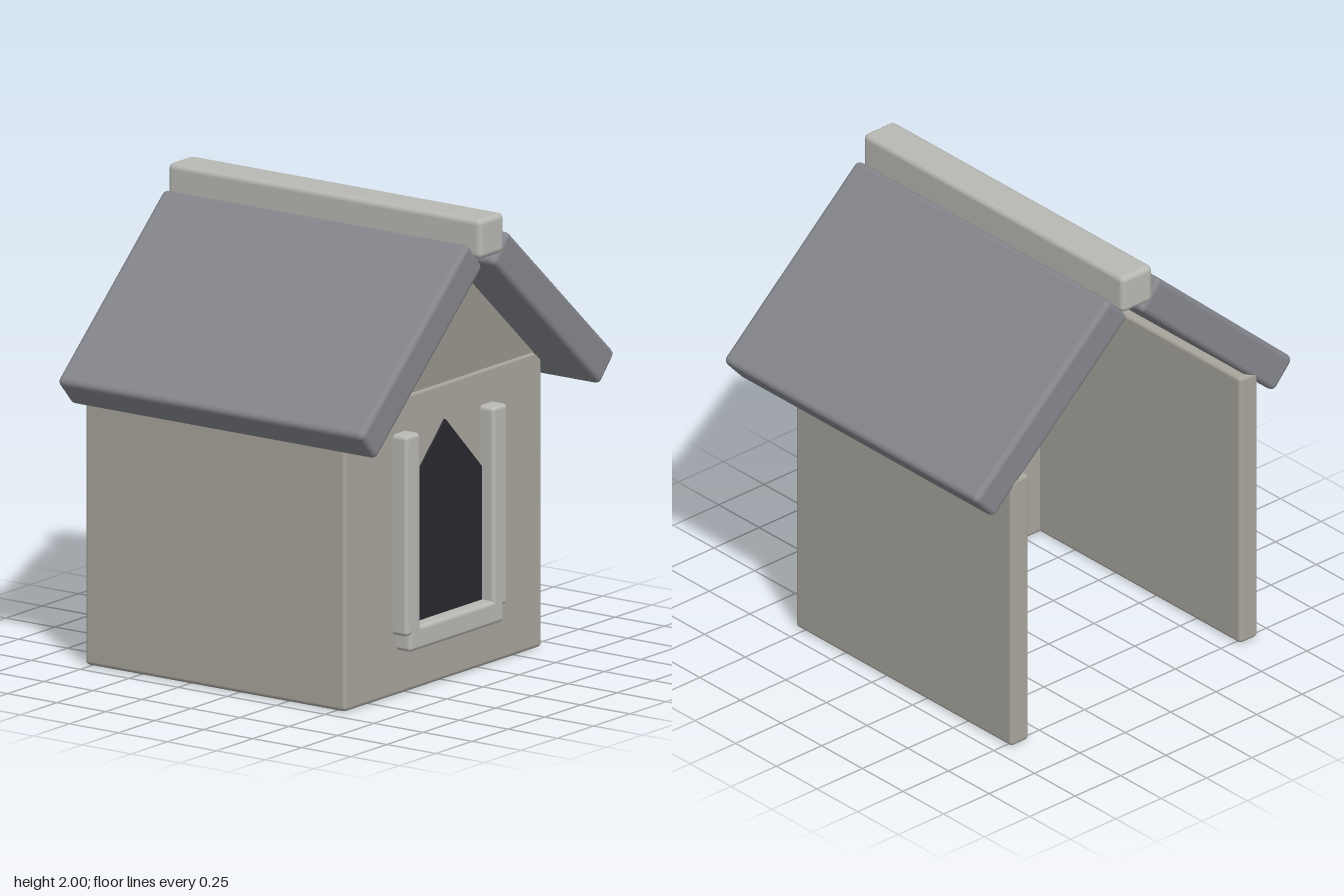
import * as THREE from 'three';
import { RoundedBoxGeometry } from 'three/addons/geometries/RoundedBoxGeometry.js';

const mat = (color) => new THREE.MeshStandardMaterial({ color });

export function createModel() {
  const house = new THREE.Group();
  house.name = 'smallHouse';
  const wall = mat(0xa8a59c), gableMat = mat(0x98958c), trim = mat(0xb8b8b4);
  const roof = mat(0x85868c), dark = mat(0x2a2830);

  const add = (name, geometry, material, x, y, z) => {
    const mesh = new THREE.Mesh(geometry, material);
    mesh.name = name;
    mesh.position.set(x, y, z);
    house.add(mesh);
    return mesh;
  };
  // Soft-edged block given by its extents
  const block = (name, material, [x0, x1], [y0, y1], [z0, z1], r = 0.018) =>
    add(name, new RoundedBoxGeometry(x1 - x0, y1 - y0, z1 - z0, 2, r), material,
      (x0 + x1) / 2, (y0 + y1) / 2, (z0 + z1) / 2);
  // Upright triangular prism standing on its base
  const prism = (name, material, halfWidth, height, y, [z0, z1]) => {
    const s = new THREE.Shape();
    s.moveTo(-halfWidth, 0);
    s.lineTo(halfWidth, 0);
    s.lineTo(0, height);
    s.closePath();
    const g = new THREE.ExtrudeGeometry(s, { depth: z1 - z0, bevelEnabled: false });
    return add(name, g, material, 0, y, z0);
  };

  // Front wall and gable; the back is open
  block('frontWall', wall, [-0.68, 0.68], [0, 1.26], [0.45, 0.55]);
  prism('gable', gableMat, 0.65, 0.58, 1.26, [0.45, 0.55]);

  // Dark doorway with a pointed top
  add('doorway', new THREE.BoxGeometry(0.52, 0.49, 0.12), dark, 0, 0.515, 0.5);
  prism('doorwayPoint', dark, 0.345, 0.345, 0.76, [0.44, 0.56]);

  // Door frame
  block('doorSill', trim, [-0.325, 0.325], [0.19, 0.29], [0.42, 0.62]);

  for (const [side, s] of [['left', 1], ['right', -1]]) {
    const span = (a, b) => (s > 0 ? [a, b] : [-b, -a]);
    block(side + 'Wall', wall, span(0.58, 0.68), [0, 1.26], [-0.78, 0.55]);
    block(side + 'DoorPost', trim, span(0.25, 0.35), [0.26, 1.11], [0.42, 0.62]);
    // Sloping roof slab
    const slab = add(side + 'Roof', new RoundedBoxGeometry(1.0, 0.16, 1.56, 2, 0.025), roof,
      s * 0.455, 1.515, 0);
    slab.rotation.z = -s * THREE.MathUtils.degToRad(42);
  }

  // Ridge beam
  block('ridgeBeam', trim, [-0.085, 0.085], [1.83, 2.0], [-0.8, 0.8], 0.025);
  return house;
}
